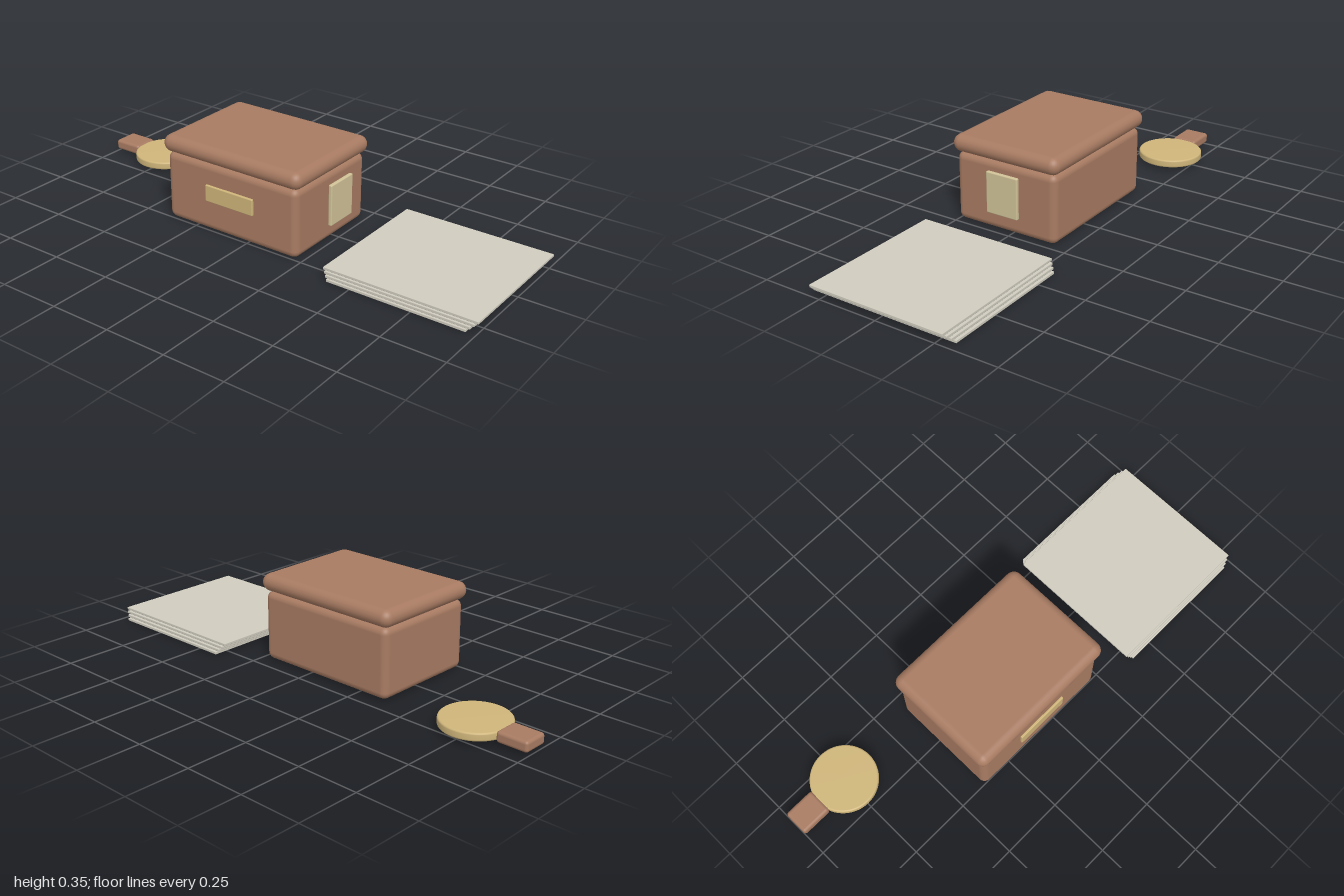
import * as THREE from 'three';
import { RoundedBoxGeometry } from 'three/addons/geometries/RoundedBoxGeometry.js';

const material = (name, color) => {
  const m = new THREE.MeshStandardMaterial({ color });
  m.name = name;
  return m;
};

export function createModel() {
  const model = new THREE.Group();
  const leather = material('brown leather', 0xa87b62);
  const brass = material('brass', 0xcfb57a);
  const card = material('cream card', 0xd0c297);
  const paper = material('grey paper', 0xd0ccbf);

  // Rounded box given by its extents on each axis
  const block = (name, mat, [x0, x1], [y0, y1], [z0, z1], radius, segments = 3) => {
    const geometry = new RoundedBoxGeometry(x1 - x0, y1 - y0, z1 - z0, segments, radius);
    const mesh = new THREE.Mesh(geometry, mat);
    mesh.name = name;
    mesh.position.set((x0 + x1) / 2, (y0 + y1) / 2, (z0 + z1) / 2);
    model.add(mesh);
    return mesh;
  };

  // Box with an overhanging pillow-edged lid
  block('boxBody', leather, [-0.385, 0.231], [0.003, 0.282], [-0.197, 0.253], 0.028);
  block('boxLid', leather, [-0.4, 0.247], [0.282, 0.352], [-0.21, 0.267], 0.035);

  // Front nameplate and the tag standing beside the box
  block('frontPlate', brass, [-0.189, 0.036], [0.129, 0.197], [0.248, 0.262], 0.004, 2);
  block('sideTag', card, [0.255, 0.271], [0.086, 0.254], [-0.055, 0.085], 0.005, 2);

  // Stack of sheets: each one higher is wider and shallower
  for (let i = 0; i < 4; i++) {
    const y = 0.001 + i * 0.0113;
    block(`sheet${i + 1}`, paper,
      [0.403 - i * 0.0083, 0.963 + i * 0.0123], [y, y + 0.0108],
      [-0.309 + i * 0.0087, 0.31 - i * 0.0057], 0.002, 1);
  }

  // Round disc with softened rims
  const radius = 0.133, bevel = 0.007, half = 0.016;
  const profile = [new THREE.Vector2(0, -half), new THREE.Vector2(radius - bevel, -half)];
  for (const side of [-1, 1]) {
    for (let i = 0; i <= 3; i++) {
      const a = side < 0 ? -Math.PI / 2 + (i * Math.PI) / 6 : (i * Math.PI) / 6;
      profile.push(new THREE.Vector2(
        radius - bevel + bevel * Math.cos(a),
        side * (half - bevel) + bevel * Math.sin(a)));
    }
  }
  profile.push(new THREE.Vector2(radius - bevel, half), new THREE.Vector2(0, half));
  // Drop repeated points so the normals stay clean
  const clean = profile.filter((p, i) => i === 0 || p.distanceTo(profile[i - 1]) > 1e-5);
  const disc = new THREE.Mesh(new THREE.LatheGeometry(clean, 48), brass);
  disc.name = 'disc';
  disc.position.set(-0.75, 0.033, -0.145);
  model.add(disc);

  // Handle butted against the disc
  block('handle', leather, [-1, -0.872], [0.011, 0.054], [-0.199, -0.094], 0.012);

  return model;
}
